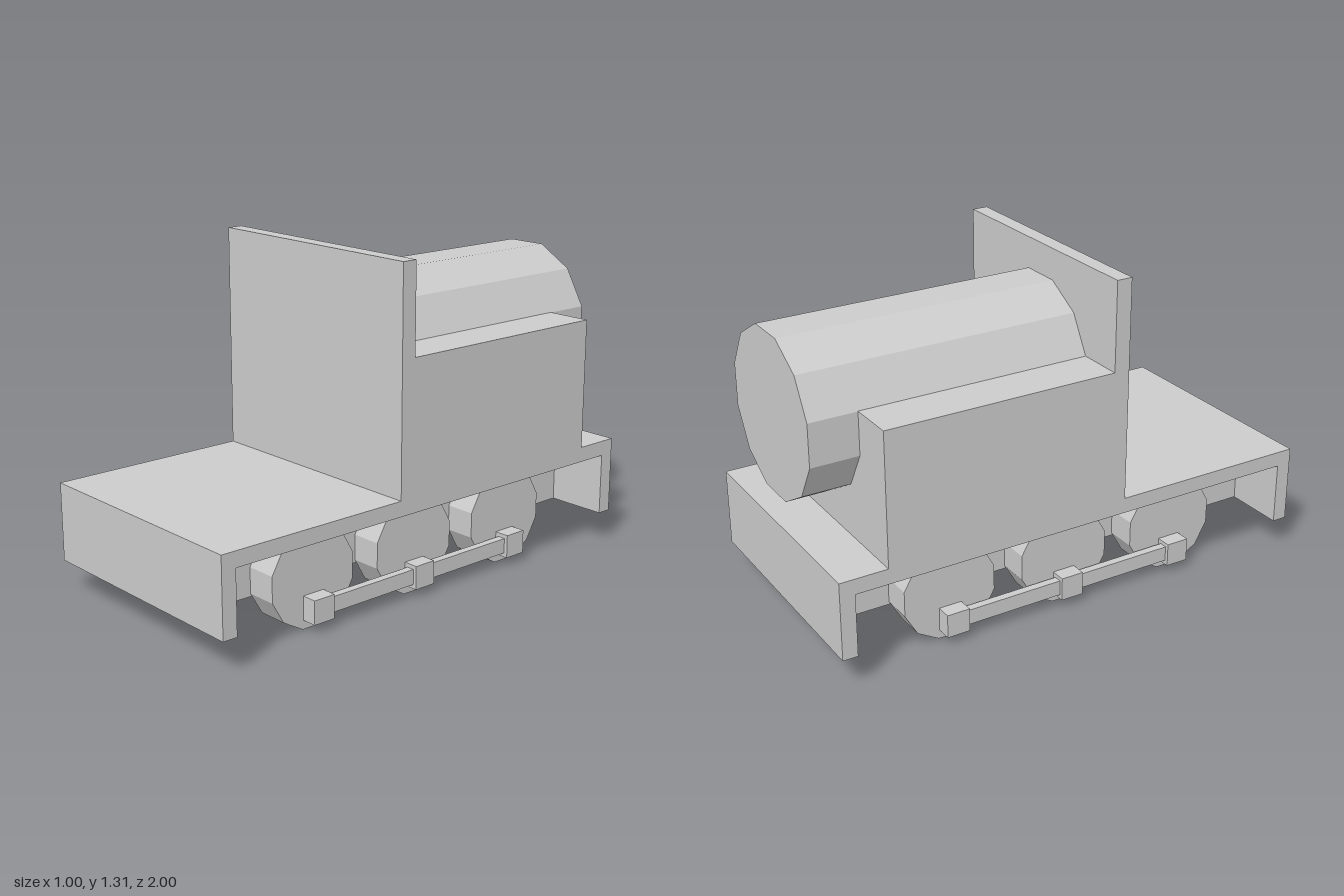
import * as THREE from 'three';

const material = new THREE.MeshStandardMaterial({ color: 0xcccccc, flatShading: true });

// Box given by its min and max on each axis
function box(name, [x0, x1], [y0, y1], [z0, z1]) {
  const mesh = new THREE.Mesh(new THREE.BoxGeometry(x1 - x0, y1 - y0, z1 - z0), material);
  mesh.name = name;
  mesh.position.set((x0 + x1) / 2, (y0 + y1) / 2, (z0 + z1) / 2);
  return mesh;
}

// Twelve-sided drum with flats on top, bottom and sides; radius is measured to the flats
function drum(name, radius, length) {
  const corner = radius / Math.cos(Math.PI / 12);
  const geometry = new THREE.CylinderGeometry(corner, corner, length, 12);
  geometry.rotateY(Math.PI / 12);
  const mesh = new THREE.Mesh(geometry, material);
  mesh.name = name;
  return mesh;
}

export function createModel() {
  const model = new THREE.Group();
  model.name = 'locomotive';

  // Chassis: deck, end plates and central frame
  model.add(box('deck', [-0.5, 0.5], [0.376, 0.437], [-1, 1]));
  model.add(box('frontPlate', [-0.5, 0.5], [0.127, 0.376], [0.94, 1]));
  model.add(box('backPlate', [-0.5, 0.5], [0.127, 0.376], [-1, -0.94]));
  model.add(box('frame', [-0.25, 0.25], [0.127, 0.376], [-0.94, 0.94]));

  // Body: side tanks, cab wall and boiler
  model.add(box('tankBody', [-0.5, 0.5], [0.437, 0.962], [-0.81, 0.125]));
  model.add(box('cabWall', [-0.5, 0.5], [0.437, 1.314], [0.125, 0.188]));
  const boiler = drum('boiler', 0.313, 1.125);
  boiler.rotation.x = Math.PI / 2;
  boiler.position.set(0, 0.877, -0.4375);
  model.add(boiler);

  // Running gear on both sides
  for (const side of [-1, 1]) {
    const gear = new THREE.Group();
    gear.name = side > 0 ? 'leftRunningGear' : 'rightRunningGear';
    const span = (a, b) => (side > 0 ? [a, b] : [-b, -a]);
    for (const z of [-0.5, 0, 0.5]) {
      const wheel = drum('wheel', 0.189, 0.125);
      wheel.rotation.z = Math.PI / 2;
      wheel.position.set(side * 0.3125, 0.189, z);
      gear.add(wheel);
      gear.add(box('crankBlock', span(0.375, 0.437), [0.035, 0.129], [z - 0.047, z + 0.047]));
    }
    for (const z of [-0.25, 0.25]) {
      gear.add(box('couplingRod', span(0.39, 0.422), [0.052, 0.113], [z - 0.203, z + 0.203]));
    }
    model.add(gear);
  }
  return model;
}
